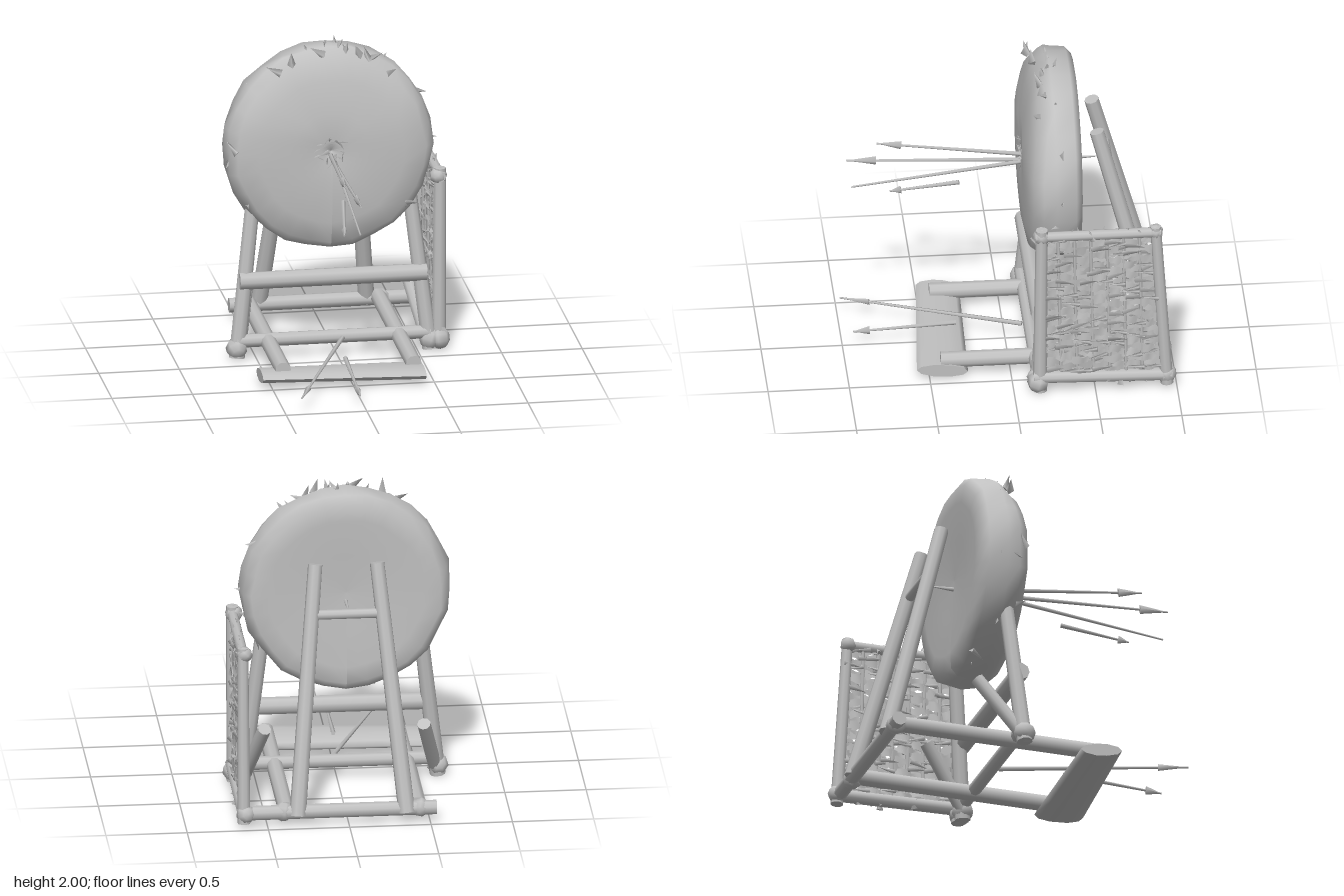
import * as THREE from 'three';

const V = (x, y, z) => new THREE.Vector3(x, y, z);
const UP = V(0, 1, 0);

// Small seeded generator for rough, hand-made edges
let seed = 7;
const rnd = () => {
  seed = (seed * 16807) % 2147483647;
  return seed / 2147483647;
};
const jit = (a) => (rnd() * 2 - 1) * a;

export function createModel() {
  const model = new THREE.Group();
  const grey = new THREE.MeshStandardMaterial({ color: 0xc0c0c0 });
  grey.name = 'light grey';
  const greySheet = new THREE.MeshStandardMaterial({ color: 0xc0c0c0, side: THREE.DoubleSide });
  greySheet.name = 'light grey sheet';

  const add = (name, geo, parent = model, mat = grey) => {
    const mesh = new THREE.Mesh(geo, mat);
    mesh.name = name;
    parent.add(mesh);
    return mesh;
  };
  const group = (name) => {
    const g = new THREE.Group();
    g.name = name;
    model.add(g);
    return g;
  };
  // Round pole from a to b
  const pole = (name, a, b, r0, r1, parent, sides = 9) => {
    const m = add(name, new THREE.CylinderGeometry(r1, r0, a.distanceTo(b), sides), parent);
    m.position.copy(a).lerp(b, 0.5);
    m.quaternion.setFromUnitVectors(UP, b.clone().sub(a).normalize());
    return m;
  };
  // Rough lashing around a joint
  const knot = (p, r, parent) => {
    const m = add('jointLashing', new THREE.SphereGeometry(r, 7, 5), parent);
    m.position.copy(p);
    m.rotation.set(rnd() * 3, rnd() * 3, rnd() * 3);
  };
  // Torn straw tuft pointing along dir
  const tuft = (p, dir, len, r, parent) => {
    const m = add('tuft', new THREE.ConeGeometry(r, len, 3), parent);
    m.position.copy(p);
    m.quaternion.setFromUnitVectors(UP, dir.normalize());
  };

  // Straw target: a padded disc, slightly lumpy, front leaning back at the top
  const target = group('target');
  target.position.set(-0.035, 1.325, -0.27);
  const profile = [[0, -0.14], [0.25, -0.15], [0.48, -0.165], [0.585, -0.16], [0.635, -0.12], [0.65, 0],
    [0.635, 0.08], [0.585, 0.14], [0.45, 0.17], [0.25, 0.18], [0.07, 0.17], [0, 0.13]];
  const disc = new THREE.LatheGeometry(profile.map(([r, y]) => new THREE.Vector2(r, y)), 28);
  disc.rotateX(Math.PI / 2);
  const dp = disc.attributes.position;
  for (let i = 0; i < dp.count; i++) {
    const x = dp.getX(i), y = dp.getY(i), z = dp.getZ(i);
    const a = Math.atan2(y, x);
    const k = 1 + 0.01 * Math.sin(a * 9 + z * 20) + 0.006 * Math.cos(a * 13);
    const lean = z > 0 ? 0.13 * Math.max(0, y - 0.15) : 0;
    dp.setXYZ(i, x * k, y * k, z - lean);
  }
  disc.computeVertexNormals();
  add('strawDisc', disc, target);
  for (let i = 0; i < 30; i++) {
    const a = i < 9 ? 0.9 + i * 0.1 : rnd() * Math.PI * 2;
    const dir = V(Math.cos(a), Math.sin(a), 0);
    const p = dir.clone().multiplyScalar(0.61 + rnd() * 0.035).setZ(0.02 + jit(0.1));
    tuft(p, V(dir.x + jit(0.9), dir.y + jit(0.9), jit(0.6)), 0.1, 0.03, target);
  }
  // Ragged hole in the bullseye
  for (let i = 0; i < 16; i++) {
    const a = i * 2.4;
    tuft(V(Math.cos(a) * 0.07, Math.sin(a) * 0.08, 0.165), V(jit(1), jit(1), 0.25), 0.11, 0.018, target);
  }

  // Frame: mirrored posts, struts, ground rails and rear legs
  const frame = group('frame');
  for (const s of [-1, 1]) {
    const X = (x) => s * x - 0.02;
    pole('frontPost', V(X(0.6), 0.02, -0.15), V(X(0.48), 1.05, -0.24), 0.05, 0.045, frame);
    pole('braceStrut', V(X(0.58), 0.08, -0.16), V(X(0.49), 0.45, -0.42), 0.042, 0.042, frame);
    pole('groundRail', V(X(0.405), 0.115, -0.92), V(X(0.405), 0.115, 0.43), 0.05, 0.05, frame);
    pole('rearLeg', V(X(0.335), 0.08, -0.95), V(X(0.19), 1.57, -0.55), 0.052, 0.045, frame);
    knot(V(X(0.6), 0.08, -0.15), 0.068, frame);
    knot(V(X(0.42), 0.1, -0.92), 0.062, frame);
  }
  pole('frontGroundRail', V(-0.62, 0.125, -0.15), V(0.58, 0.125, -0.15), 0.042, 0.042, frame);
  pole('frontCrossRail', V(-0.6, 0.505, -0.165), V(0.56, 0.505, -0.165), 0.054, 0.054, frame);
  pole('rearGroundRail', V(-0.54, 0.1, -0.93), V(0.6, 0.1, -0.93), 0.045, 0.045, frame);
  pole('rearCrossRail', V(-0.2, 1.27, -0.63), V(0.17, 1.27, -0.63), 0.03, 0.03, frame);

  // Flattened half-log across the front of the ground rails
  const plank = new THREE.CylinderGeometry(1, 1, 1, 10, 4).rotateZ(Math.PI / 2).scale(1, 0.042, 0.145);
  const pp = plank.attributes.position;
  for (let i = 0; i < pp.count; i++) {
    const x = pp.getX(i), z = pp.getZ(i);
    pp.setZ(i, z + 0.03 * x + (z > 0 ? 0.05 * x : 0));
    pp.setY(i, pp.getY(i) + 0.08 * z);
  }
  plank.computeVertexNormals();
  add('frontPlank', plank).position.set(-0.06, 0.068, 0.395);

  // Woven side panel: poles, stakes and wavy ragged strips
  const panel = group('wovenPanel');
  const px = 0.645;
  pole('panelFrontPost', V(px - 0.01, 0.02, -0.16), V(px, 1.17, -0.17), 0.045, 0.038, panel);
  pole('panelRearPost', V(px, 0.04, -0.94), V(px, 1.16, -0.87), 0.04, 0.034, panel);
  pole('panelTopRail', V(px, 1.12, -0.13), V(px, 1.12, -0.9), 0.032, 0.032, panel);
  pole('panelBottomRail', V(px, 0.12, -0.12), V(px, 0.1, -0.97), 0.04, 0.04, panel);
  for (const [y, z, r] of [[0.08, -0.15, 0.07], [1.12, -0.17, 0.055], [1.12, -0.87, 0.05], [0.1, -0.94, 0.06]])
    knot(V(px - 0.01, y, z), r, panel);
  for (let i = 1; i < 7; i++) {
    const z = -0.17 - i * 0.1;
    pole('stake', V(px, 0.1, z - 0.02), V(px, 1.14, z), 0.012, 0.012, panel, 5);
  }
  for (let row = 0; row < 25; row++) {
    const strip = new THREE.PlaneGeometry(0.75, 0.052, 28, 1);
    const sp = strip.attributes.position;
    for (let i = 0; i < sp.count; i++) {
      const u = sp.getX(i), v = sp.getY(i);
      const wave = Math.sin((u + 0.375) * Math.PI * 10 + row * Math.PI) * 0.012;
      sp.setXYZ(i, wave + jit(0.007), v + jit(0.013), -u);
    }
    strip.computeVertexNormals();
    const m = add('wovenStrip', strip, panel, greySheet);
    m.position.set(px, 0.15 + row * 0.0395, -0.53);
    m.rotation.x = jit(0.02);
  }
  for (let i = 0; i < 150; i++) {
    const col = 1 + (i % 7);
    const p = V(px + (i % 4 < 2 ? 1 : -1) * (0.01 + rnd() * 0.012), 0.15 + rnd() * 0.95, -0.15 - col * 0.095 + jit(0.03));
    tuft(p, V(jit(0.2), jit(0.25), i % 2 ? 1 : -1), 0.12, 0.017, panel);
  }
  for (let i = 0; i < 18; i++) {
    const top = i % 2;
    const p = V(px + jit(0.02), top ? 1.13 : 0.1, -0.14 - rnd() * 0.76);
    tuft(p, V(jit(0.5), top ? 1 : jit(1), jit(1)), 0.09, 0.025, panel);
  }

  // Arrows: slim shafts, some with a pointed vane at the outer end
  const arrows = group('arrows');
  const arrow = (tail, tip, vane) => {
    pole('arrowShaft', tail, tip, 0.006, 0.015, arrows, 5);
    if (!vane) return;
    pole('arrowVane', tail, tail.clone().lerp(tip, 0.16), 0.001, 0.03, arrows, 4).scale.x = 0.6;
  };
  arrow(V(-0.1, 1.39, 0.78), V(-0.04, 1.3, -0.15), true);
  arrow(V(-0.03, 1.32, 0.97), V(-0.03, 1.27, -0.15), true);
  arrow(V(-0.03, 1.13, 0.94), V(-0.02, 1.27, -0.15), false);
  arrow(V(-0.09, 1.05, 0.7), V(-0.03, 1.13, 0.28), true);
  arrow(V(-0.4, 0.11, 0.98), V(0.03, 0.13, -0.1), true);
  arrow(V(-0.03, 0.09, 0.93), V(-0.02, 0.13, 0.3), true);
  // Arrow point poking out behind the target
  pole('arrowPoint', V(-0.03, 1.27, -0.4), V(-0.03, 1.27, -0.58), 0.015, 0.002, arrows, 5);

  return model;
}
